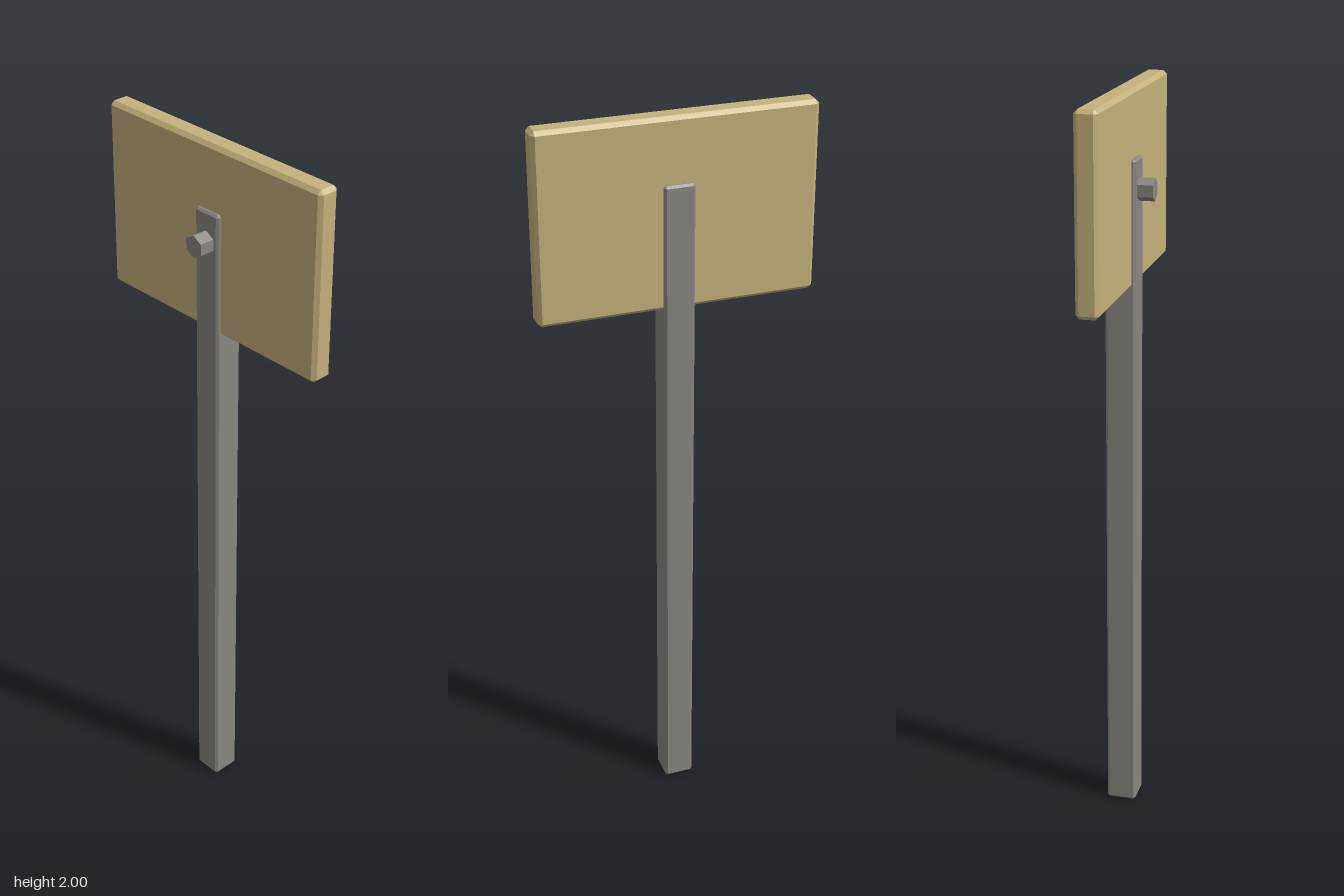
import * as THREE from 'three';
import { ConvexGeometry } from 'three/addons/geometries/ConvexGeometry.js';

// Box with every edge cut by a flat chamfer c
function chamferBox(w, h, d, c) {
  const half = [w / 2, h / 2, d / 2];
  const points = [];
  for (const sx of [-1, 1]) for (const sy of [-1, 1]) for (const sz of [-1, 1]) {
    for (let axis = 0; axis < 3; axis++) {
      const p = half.map((v, i) => (i === axis ? v : v - c));
      points.push(new THREE.Vector3(sx * p[0], sy * p[1], sz * p[2]));
    }
  }
  return new ConvexGeometry(points);
}

export function createModel() {
  const group = new THREE.Group();
  const wood = new THREE.MeshStandardMaterial({ color: 0xc4b27c, flatShading: true });
  const metal = new THREE.MeshStandardMaterial({ color: 0x8a8780, flatShading: true });

  const add = (name, geometry, material, x, y, z) => {
    const mesh = new THREE.Mesh(geometry, material);
    mesh.name = name;
    mesh.position.set(x, y, z);
    group.add(mesh);
  };

  // Upright square post
  add('post', chamferBox(0.081, 1.83, 0.081, 0.006), metal, 0, 0.915, -0.0205);

  // Sign panel let into the post
  add('signBoard', chamferBox(0.728, 0.5, 0.06, 0.01), wood, 0, 1.75, -0.021);

  // Hexagonal bolt head, a corner pointing up
  const bolt = new THREE.CylinderGeometry(0.03, 0.03, 0.041, 6).rotateX(Math.PI / 2);
  add('boltHead', bolt, metal, 0, 1.75, 0.0405);

  return group;
}
